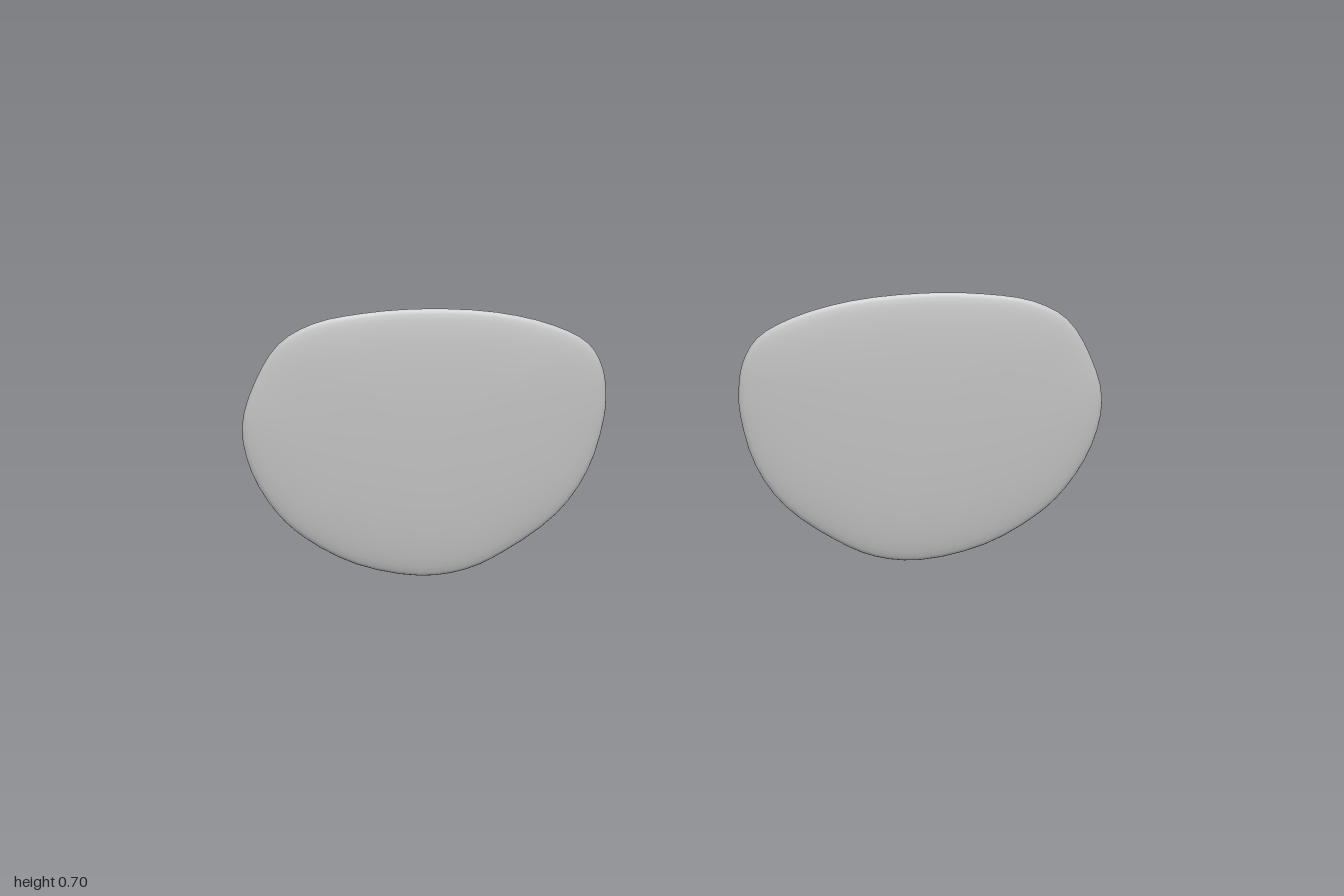
import * as THREE from 'three';

// Lens outline, clockwise from the top centre
const OUTLINE = [
  [0.58, 0.705], [0.72, 0.698], [0.835, 0.675], [0.915, 0.625], [0.97, 0.525], [0.998, 0.41],
  [0.975, 0.29], [0.915, 0.18], [0.85, 0.112], [0.73, 0.038], [0.58, 0.002], [0.475, 0.015],
  [0.385, 0.06], [0.265, 0.155], [0.195, 0.265], [0.158, 0.4], [0.154, 0.47], [0.162, 0.535],
  [0.195, 0.6], [0.275, 0.65], [0.41, 0.69],
];
const CENTRE = [0.58, 0.38];
const FRONT_BULGE = 0.031, BACK_BULGE = 0.014;
const RINGS = 24;
const ROUNDNESS = 2 / 2.2; // superellipse section

// The lens leans forward towards the top
const leanZ = (y) => -0.05 + 0.123 * y;

function lensGeometry(side) {
  const curve = new THREE.CatmullRomCurve3(
    OUTLINE.map(([x, y]) => new THREE.Vector3(x * side, y, 0)), true);
  const n = OUTLINE.length * 3;
  const rim = curve.getPoints(n).slice(0, n);
  if (side > 0) rim.reverse(); // counter-clockwise from the front

  const cx = CENTRE[0] * side, cy = CENTRE[1];
  const positions = [cx, cy, leanZ(cy) + FRONT_BULGE];
  const index = [];

  // Rings run from the front pole over the rim to the back pole
  for (let i = 1; i < RINGS; i++) {
    const a = (i / RINGS) * Math.PI;
    const r = Math.pow(Math.sin(a), ROUNDNESS);
    const c = Math.cos(a);
    const h = Math.pow(Math.abs(c), ROUNDNESS) * (c > 0 ? FRONT_BULGE : -BACK_BULGE);
    for (const p of rim) {
      const y = cy + (p.y - cy) * r;
      positions.push(cx + (p.x - cx) * r, y, leanZ(y) + h);
    }
  }
  positions.push(cx, cy, leanZ(cy) - BACK_BULGE);

  const last = positions.length / 3 - 1;
  const at = (ring, j) => 1 + (ring - 1) * n + (j % n);
  for (let j = 0; j < n; j++) {
    index.push(0, at(1, j), at(1, j + 1));
    for (let i = 1; i < RINGS - 1; i++) {
      index.push(at(i, j), at(i + 1, j), at(i + 1, j + 1));
      index.push(at(i, j), at(i + 1, j + 1), at(i, j + 1));
    }
    index.push(at(RINGS - 1, j), last, at(RINGS - 1, j + 1));
  }

  const geometry = new THREE.BufferGeometry();
  geometry.setAttribute('position', new THREE.Float32BufferAttribute(positions, 3));
  geometry.setIndex(index);
  geometry.computeVertexNormals();
  return geometry;
}

export function createModel() {
  const group = new THREE.Group();
  group.name = 'lensPair';
  const material = new THREE.MeshStandardMaterial({ color: 0xcccccc });
  for (const [name, side] of [['leftLens', 1], ['rightLens', -1]]) {
    const lens = new THREE.Mesh(lensGeometry(side), material);
    lens.name = name;
    group.add(lens);
  }
  return group;
}
